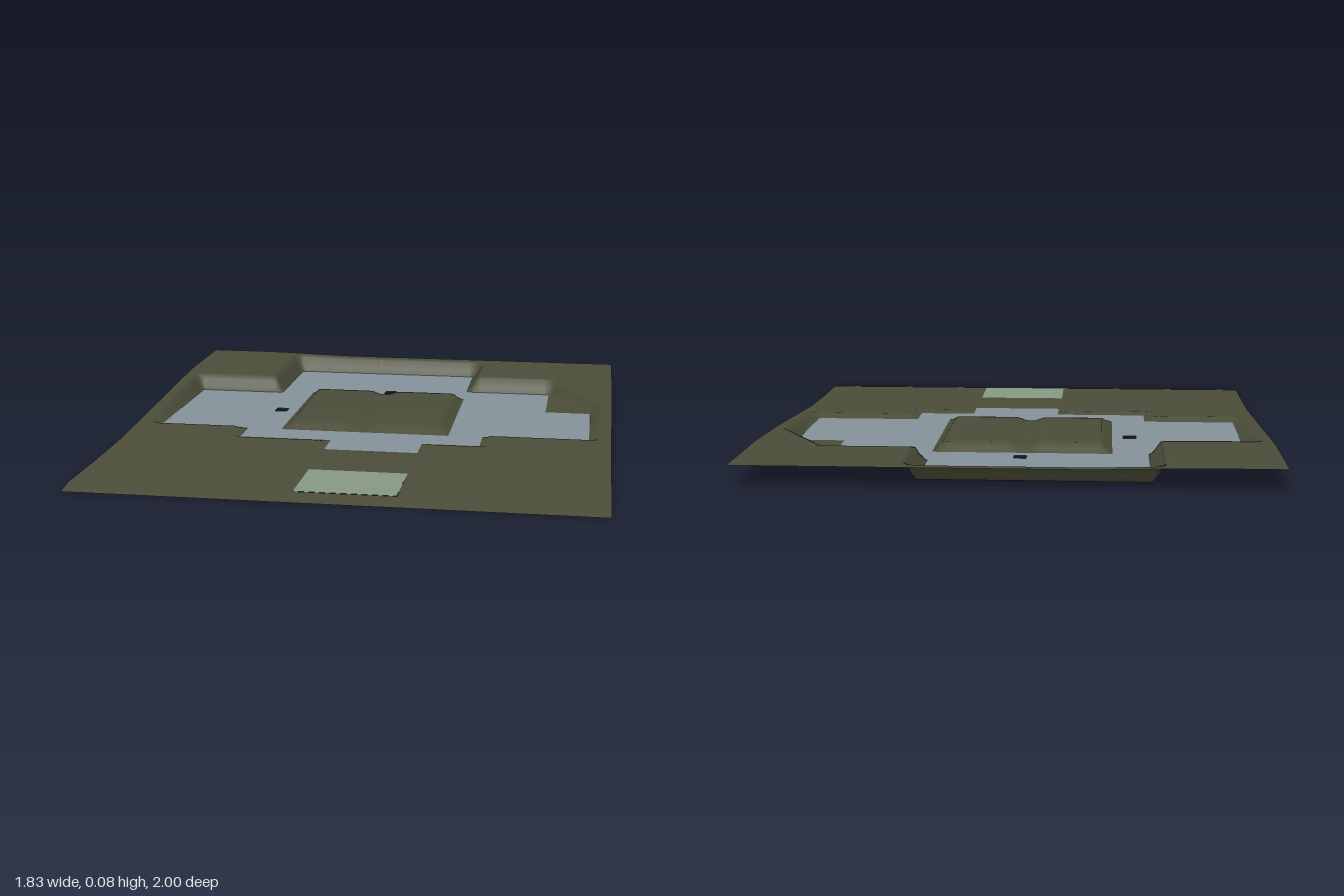
import * as THREE from 'three';

const PAVE_Y = 0.015, PATCH_Y = 0.013, BANK = 0.045;

// Rectangles as [x0, x1, z0, z1]
const paving = [
  [-0.48, 0.30, -0.91, -0.48], // back wing
  [-0.83, -0.35, -0.48, 0.13], // right-hand wing
  [0.30, 0.65, -0.61, 0.13],   // left-hand wing
  [0.65, 0.83, -0.30, 0.13],   // side bay
  [-0.48, 0.43, 0.13, 0.26],   // front strip
  [-0.13, 0.215, 0.26, 0.39],  // porch
];
const shafts = [[-0.045, 0.0, -0.57, -0.523], [-0.44, -0.392, -0.202, -0.155]];
const lawn = [-0.135, 0.215, 0.65, 0.915];
const court = [-0.35, 0.30, -0.48, 0.13];

const inside = (r, x, z) => x > r[0] && x < r[1] && z > r[2] && z < r[3];
const isShaft = (x, z) => shafts.some(r => inside(r, x, z));
const isPaving = (x, z) => paving.some(r => inside(r, x, z)) && !isShaft(x, z);
const isLawn = (x, z) => inside(lawn, x, z);
const isSoil = (x, z) => !isPaving(x, z) && !isLawn(x, z) && !isShaft(x, z);

const rectDistance = (r, x, z) => Math.hypot(
  Math.max(r[0] - x, 0, x - r[1]), Math.max(r[2] - z, 0, z - r[3]));

// Slope of the undisturbed ground from back to front
const slope = [[-1, 0.075], [-0.6, 0.073], [-0.4, 0.065], [-0.2, 0.055], [0, 0.043],
  [0.2, 0.03], [0.4, 0.018], [0.65, 0.013], [0.915, 0.012], [1, 0]];

function naturalHeight(x, z) {
  let i = 0;
  while (i < slope.length - 2 && z > slope[i + 1][0]) i++;
  const [z0, h0] = slope[i], [z1, h1] = slope[i + 1];
  const h = THREE.MathUtils.mapLinear(z, z0, z1, h0, h1);
  const rise = 1 - THREE.MathUtils.smoothstep(x, -0.7, -0.2);
  return h + 0.009 * rise * THREE.MathUtils.smoothstep(-z, 0.1, 0.8);
}

// Ground cut down to the paving with sloped banks
function soilHeight(x, z) {
  let h = naturalHeight(x, z);
  if (inside(court, x, z)) {
    // two low mounds with a shallow gully between them
    const gully = 1 - THREE.MathUtils.smoothstep(Math.abs(x + 0.03), 0.01, 0.06);
    h = Math.min(h, 0.047) - 0.014 * gully;
  }
  let d = Math.min(...paving.map(r => rectDistance(r, x, z)));
  // excavated triangle in the stepped corner
  if (x > 0.65 && z < -0.3) {
    d = Math.min(d, Math.max(0, ((x - 0.65) * 0.31 - (z + 0.61) * 0.18) / 0.358));
  }
  return THREE.MathUtils.lerp(PAVE_Y, h, THREE.MathUtils.smoothstep(d, 0, BANK));
}

// Grid lines through every edge, with intervals divided evenly
function gridLines(values, step) {
  const sorted = [...new Set(values)].sort((a, b) => a - b);
  const lines = [sorted[0]];
  for (let i = 1; i < sorted.length; i++) {
    const a = sorted[i - 1], b = sorted[i], n = Math.ceil((b - a) / step);
    for (let k = 1; k <= n; k++) lines.push(k === n ? b : a + (b - a) * k / n);
  }
  return lines;
}

// Sheet made from the grid cells that pass the test
function sheet(xs, zs, test, height) {
  const position = [], index = [];
  for (const z of zs) for (const x of xs) position.push(x, height(x, z), z);
  const w = xs.length;
  for (let j = 0; j < zs.length - 1; j++) {
    for (let i = 0; i < w - 1; i++) {
      if (!test((xs[i] + xs[i + 1]) / 2, (zs[j] + zs[j + 1]) / 2)) continue;
      const a = j * w + i, b = a + w;
      index.push(a, b, b + 1, a, b + 1, a + 1);
    }
  }
  const geometry = new THREE.BufferGeometry();
  geometry.setAttribute('position', new THREE.Float32BufferAttribute(position, 3));
  geometry.setIndex(index);
  // drop unused grid points
  const compact = geometry.toNonIndexed();
  const p = compact.attributes.position, seen = new Map(), pts = [], idx = [];
  for (let i = 0; i < p.count; i++) {
    const key = index[i];
    if (!seen.has(key)) {
      seen.set(key, seen.size);
      pts.push(p.getX(i), p.getY(i), p.getZ(i));
    }
    idx.push(seen.get(key));
  }
  const result = new THREE.BufferGeometry();
  result.setAttribute('position', new THREE.Float32BufferAttribute(pts, 3));
  result.setIndex(idx);
  result.computeVertexNormals();
  return result;
}

export function createModel() {
  const group = new THREE.Group();
  const rects = [...paving, ...shafts, lawn, court];
  const xs = gridLines([-0.914, 0.914, ...rects.flatMap(r => [r[0], r[1]])], 0.02);
  const zs = gridLines([-1, 1, ...rects.flatMap(r => [r[2], r[3]])], 0.02);

  const add = (name, materialName, color, test, height) => {
    const material = new THREE.MeshStandardMaterial({ color, side: THREE.DoubleSide });
    material.name = materialName;
    const mesh = new THREE.Mesh(sheet(xs, zs, test, height), material);
    mesh.name = name;
    group.add(mesh);
  };
  add('terrain', 'olive soil', 0x4b4d39, isSoil, soilHeight);
  add('paving', 'blue grey paving', 0x84929a, isPaving, () => PAVE_Y);
  add('lawnPatch', 'pale green', 0x869984, isLawn, () => PATCH_Y);
  return group;
}
